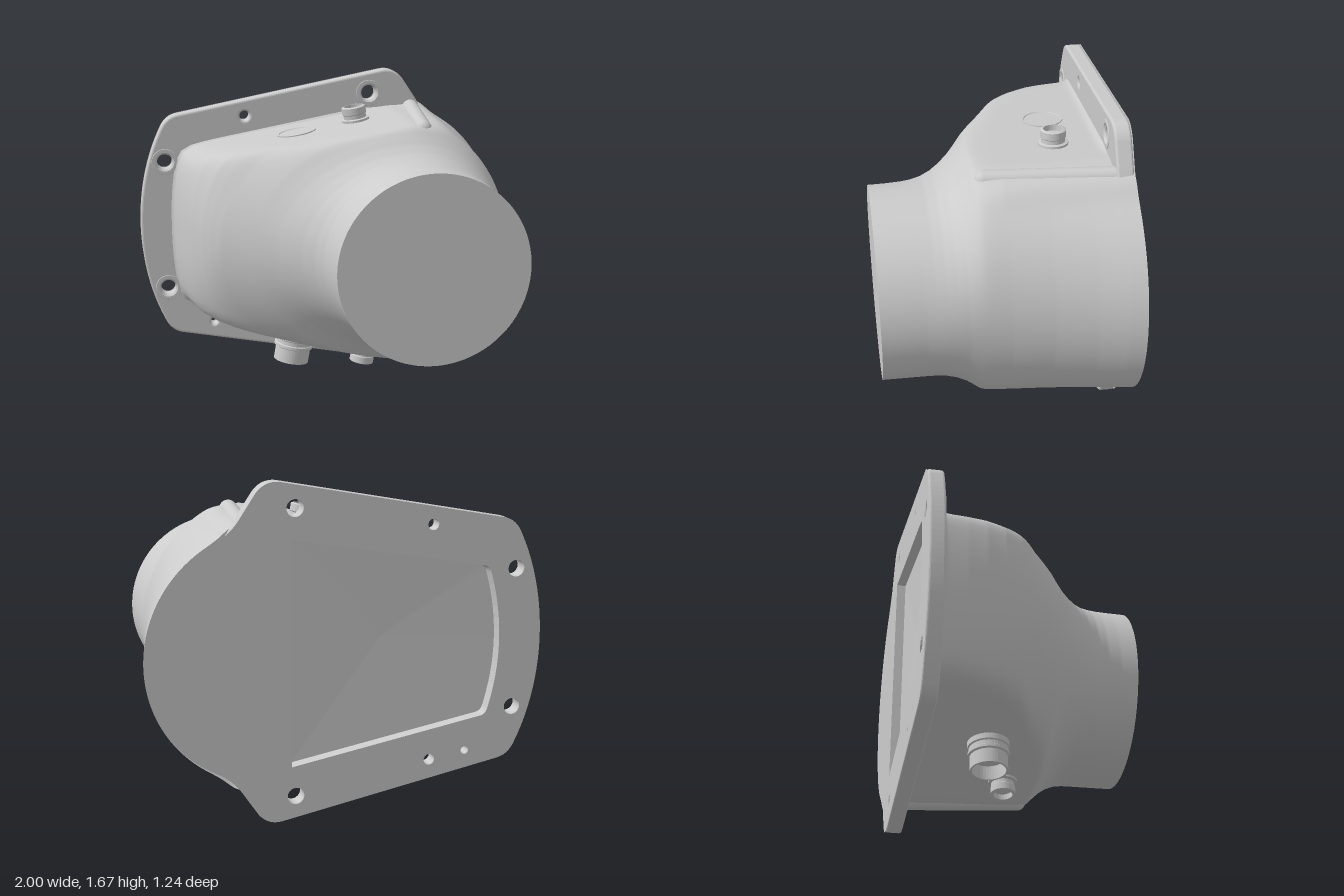
import * as THREE from 'three';

const CX = 0.37, CY = 0.84;
const mat = new THREE.MeshStandardMaterial({ color: 0xcccccc, side: THREE.DoubleSide });
const flatMat = mat.clone();
flatMat.flatShading = true;

// Linear interpolation in a list of [z, value] pairs
function sample(table, z) {
  let i = 0;
  while (i < table.length - 2 && z > table[i + 1][0]) i++;
  const [z0, a] = table[i], [z1, b] = table[i + 1];
  return THREE.MathUtils.lerp(a, b, THREE.MathUtils.clamp((z - z0) / (z1 - z0), 0, 1));
}

// Skin between closed rings with equal point counts
function loft(rings) {
  const n = rings[0].length, pos = [], idx = [];
  rings.forEach(r => r.forEach(p => pos.push(p.x, p.y, p.z)));
  for (let i = 0; i < rings.length - 1; i++) {
    for (let j = 0; j < n; j++) {
      const k = (j + 1) % n, a = i * n + j, b = i * n + k;
      idx.push(a, b, b + n, a, b + n, a + n);
    }
  }
  const g = new THREE.BufferGeometry();
  g.setAttribute('position', new THREE.Float32BufferAttribute(pos, 3));
  g.setIndex(idx);
  g.computeVertexNormals();
  return g;
}

// Body extents along z: leftward, rightward, vertical, corner squareness, shoulder beside the ribs
const reach = [[-0.62, 1.19], [-0.5, 1.183], [-0.4, 1.17], [-0.3, 1.15], [-0.2, 1.12], [-0.1, 1.07],
  [-0.05, 1.035], [0, 0.99], [0.1, 0.86], [0.2, 0.73], [0.3, 0.61], [0.36, 0.55], [0.41, 0.515], [0.46, 0.497], [0.53, 0.487], [0.62, 0.485]];
const bulge = [[-0.62, 0.63], [-0.54, 0.615], [-0.4, 0.583], [-0.2, 0.545], [0, 0.517], [0.2, 0.497], [0.4, 0.486], [0.62, 0.485]];
const rise = [[-0.62, 1.1], [-0.2, 0.9], [0, 0.74], [0.08, 0.68], [0.12, 0.645], [0.16, 0.592], [0.2, 0.55],
  [0.25, 0.515], [0.3, 0.495], [0.35, 0.487], [0.62, 0.485]];
const square = [[-0.62, 2.5], [-0.3, 2.5], [-0.1, 2.3], [0, 2], [0.62, 2]];
const shoulder = [[-0.62, 0.036], [-0.5, 0.03], [0, 0.02], [0.15, 0], [0.62, 0]];

function bodyRing(z, n = 160) {
  const a = sample(reach, z), R = sample(bulge, z), H = sample(rise, z), e = sample(square, z), k = 28;
  const softMin = (p, q) => Math.pow(Math.pow(p, -k) + Math.pow(q, -k), -1 / k);
  // fillet where the body meets the flange
  const u = THREE.MathUtils.clamp((-0.495 - z) / 0.045, 0, 1);
  const fillet = 0.025 * (1 - Math.sqrt(1 - u * u));
  return Array.from({ length: n }, (_, j) => {
    const t = (j / n) * Math.PI * 2, c = Math.cos(t), s = Math.abs(Math.sin(t));
    let r;
    if (c >= 0) {
      const away = (Math.acos(c) - 1.3) / 0.13;
      r = 1 / Math.hypot(c / R, s / softMin(H, 0.637)) + sample(shoulder, z) * Math.exp(-away * away);
    } else {
      // rounded section trimmed by the sloping flat faces
      r = Math.pow(Math.pow(-c / a, e) + Math.pow(s / H, e), -1 / e);
      r = softMin(r, 0.637 / (s - 0.174 * c));
      r += fillet * THREE.MathUtils.smoothstep(-c, 0, 0.3);
    }
    return new THREE.Vector3(CX + c * r, CY + Math.sin(t) * r, z);
  });
}

// Flange outline, its right side following the body's bulge
const bolts = [[0.27, 1.55], [-0.86, 1.2], [-0.86, 0.49], [0.27, 0.13]];
function outline(R) {
  const s = new THREE.Shape(), t = 65 * Math.PI / 180;
  s.moveTo(-0.875, 0.29);
  s.quadraticCurveTo(-0.845, 0.235, -0.79, 0.223);
  s.lineTo(0.33, 0.008);
  s.quadraticCurveTo(0.41, -0.01, 0.46, 0.055);
  s.lineTo(0.53, 0.16);
  s.quadraticCurveTo(0.57, 0.225, CX + R * Math.cos(t), CY - R * Math.sin(t));
  s.absarc(CX, CY, R, -t, t, false);
  s.quadraticCurveTo(0.57, 1.455, 0.53, 1.52);
  s.lineTo(0.46, 1.625);
  s.quadraticCurveTo(0.41, 1.69, 0.33, 1.672);
  s.lineTo(-0.79, 1.457);
  s.quadraticCurveTo(-0.845, 1.445, -0.875, 1.39);
  s.bezierCurveTo(-1.042, 1.06, -1.042, 0.62, -0.875, 0.29);
  const pocket = new THREE.Path();
  pocket.moveTo(0.29, 0.28);
  pocket.lineTo(0.29, 1.4);
  pocket.lineTo(-0.69, 1.225);
  pocket.quadraticCurveTo(-0.72, 1.22, -0.73, 1.18);
  pocket.quadraticCurveTo(-0.83, CY, -0.73, 0.5);
  pocket.quadraticCurveTo(-0.72, 0.46, -0.69, 0.455);
  pocket.lineTo(0.29, 0.28);
  s.holes.push(pocket);
  for (const [x, y, r] of [...bolts.map(b => [...b, 0.042]), [-0.42, 1.44, 0.028], [-0.42, 0.25, 0.028], [-0.61, 0.28, 0.02]]) {
    s.holes.push(new THREE.Path().absarc(x, y, r, 0, Math.PI * 2, true));
  }
  return s;
}

// Stepped round part on a sloping face; side is +1 for top, -1 for bottom
function fitting(name, x, z, side, profile) {
  const g = new THREE.LatheGeometry(profile.map(p => new THREE.Vector2(...p)), 40);
  const m = new THREE.Mesh(g, flatMat);
  m.name = name;
  m.position.set(x, CY + side * (0.572 + 0.174 * x), z);
  m.rotation.z = side > 0 ? 0.172 : Math.PI - 0.172;
  return m;
}

export function createModel() {
  const group = new THREE.Group();
  const add = (name, geo, material = mat) => {
    const m = new THREE.Mesh(geo, material);
    m.name = name;
    group.add(m);
    return m;
  };

  // Duct body and its closed round end
  const steps = 124;
  add('body', loft(Array.from({ length: steps + 1 }, (_, i) => bodyRing(-0.62 + 1.24 * i / steps))));
  add('roundEnd', new THREE.CircleGeometry(0.485, 96)).position.set(CX, CY, 0.62);

  // Mounting flange with a flush back face
  add('flange', new THREE.ExtrudeGeometry(outline(0.585), {
    depth: 0.058, bevelThickness: 0.012, bevelSize: 0.012, bevelOffset: -0.012, bevelSegments: 3, curveSegments: 32,
  })).position.z = -0.605;
  add('backFace', new THREE.ShapeGeometry(outline(0.63), 32)).position.z = -0.62;

  // Shallow faceted pocket in the back
  const rim = outline(0.63).holes[0].getPoints(12).slice(0, -1);
  const ring = (z, k) => rim.map(p => new THREE.Vector3(-0.18 + (p.x + 0.18) * k, 0.9 + (p.y - 0.9) * k, z));
  add('backPocket', loft([ring(-0.62, 1), ring(-0.575, 0.985), ring(-0.565, 0.001)]), flatMat);

  // Washers around the bolt holes
  for (const [x, y] of bolts) {
    const pts = [[0.042, -0.06], [0.042, 0], [0.052, 0.01], [0.07, 0.01], [0.076, 0]].map(p => new THREE.Vector2(...p));
    const washer = add('boltWasher', new THREE.LatheGeometry(pts, 24), flatMat);
    washer.rotation.x = Math.PI / 2;
    washer.position.set(x, y, -0.542);
  }

  // Rounded ribs at the edge of both flat faces
  for (const side of [1, -1]) {
    const a = new THREE.Vector3(0.43, CY + side * 0.605, 0.08), b = new THREE.Vector3(0.505, CY + side * 0.62, -0.55);
    const rib = add('rib', new THREE.CapsuleGeometry(0.047, a.distanceTo(b), 8, 20));
    rib.position.copy(a).add(b).multiplyScalar(0.5);
    rib.quaternion.setFromUnitVectors(new THREE.Vector3(0, 1, 0), b.clone().sub(a).normalize());
  }

  // Connectors and the inset disc
  const small = [[0.075, -0.04], [0.075, 0.012], [0.06, 0.016], [0.06, 0.036], [0.064, 0.04], [0.064, 0.075],
    [0.052, 0.08], [0.048, 0.08], [0.048, 0.05], [0, 0.05]];
  const large = [[0.105, -0.04], [0.105, 0.03], [0.098, 0.035], [0.098, 0.055], [0.104, 0.06], [0.104, 0.075],
    [0.094, 0.08], [0.094, 0.155], [0.084, 0.155], [0.084, 0.08], [0, 0.08]];
  group.add(
    fitting('topConnector', 0.15, -0.3, 1, small),
    fitting('bottomSmallConnector', 0.15, -0.05, -1, small),
    fitting('bottomLargeConnector', -0.2, -0.19, -1, large),
    fitting('insetDisc', -0.17, -0.3, 1, [[0.105, -0.03], [0.105, 0.006], [0.095, 0.006], [0.092, 0.002], [0, 0.002]]),
  );
  return group;
}
